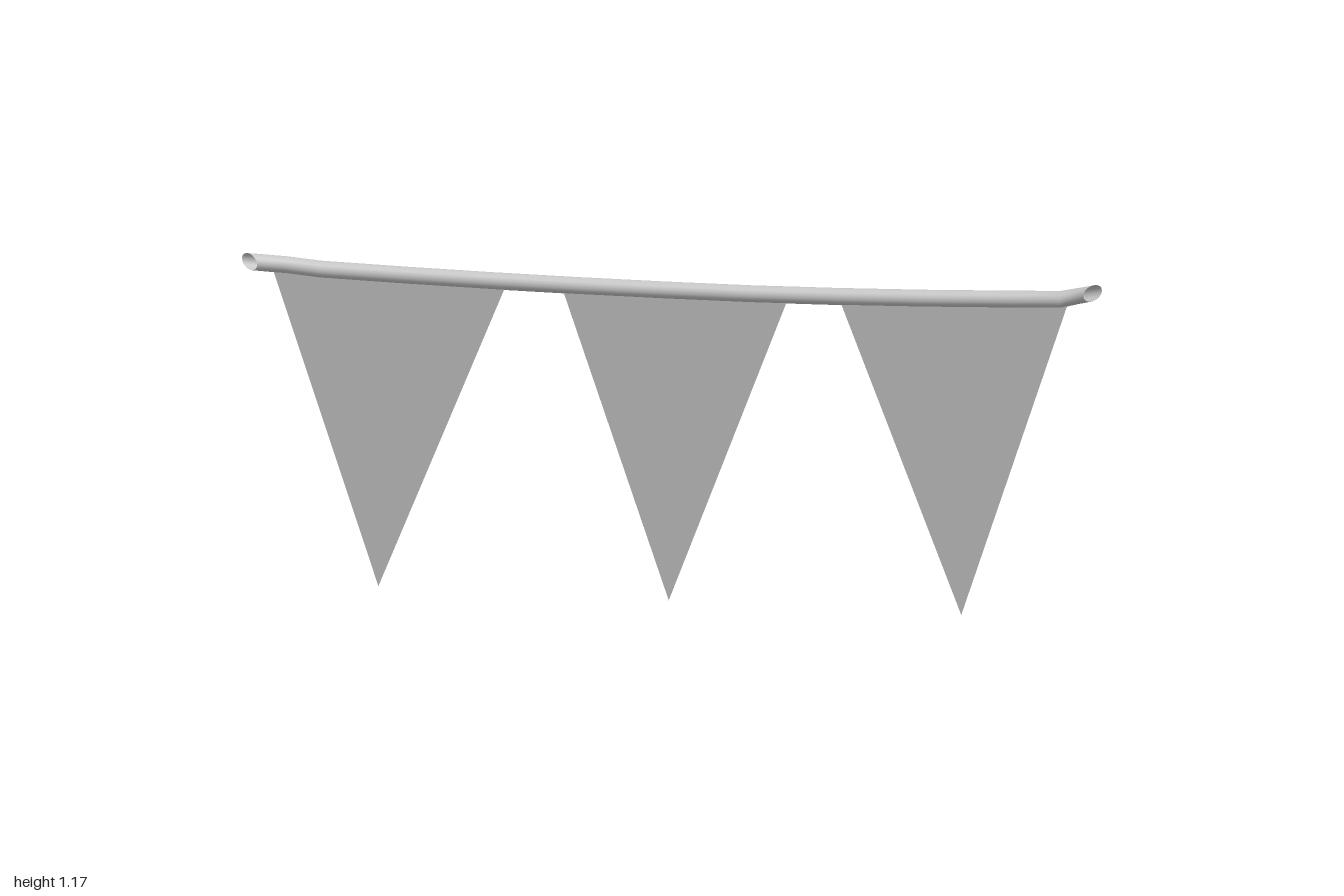
import * as THREE from 'three';

const R = 0.028;          // rope radius
const SIDES = 16;
const OFFSET = 0.03;      // the bunting runs along x + z = OFFSET
const grey = new THREE.MeshStandardMaterial({ color: 0xcccccc, side: THREE.DoubleSide });

// Sagging open tube; its two ends are cut square to the z and x axes
function ropeGeometry() {
  const path = [[-0.96, 1.143], [-0.88, 1.134], [-0.8, 1.123], [-0.6, 1.113], [-0.4, 1.105], [-0.2, 1.099],
    [0, 1.095], [0.2, 1.093], [0.4, 1.095], [0.6, 1.1], [0.8, 1.108], [0.92, 1.114], [1, 1.142]];
  const positions = [], index = [];
  path.forEach(([x, y], i) => {
    let across = new THREE.Vector3(Math.SQRT1_2, 0, Math.SQRT1_2);
    if (i === 0) across = new THREE.Vector3(Math.SQRT2, 0, 0);
    if (i === path.length - 1) across = new THREE.Vector3(0, 0, Math.SQRT2);
    const z = i === 0 ? 1 : i === path.length - 1 ? -0.96 : OFFSET - x;
    for (let j = 0; j < SIDES; j++) {
      const a = (j / SIDES) * Math.PI * 2, s = Math.sin(a) * R;
      positions.push(x + across.x * s, y + Math.cos(a) * R, z + across.z * s);
      if (i < path.length - 1) {
        const k = (j + 1) % SIDES, p = i * SIDES, q = p + SIDES;
        index.push(p + j, p + k, q + j, p + k, q + k, q + j);
      }
    }
  });
  const g = new THREE.BufferGeometry();
  g.setAttribute('position', new THREE.Float32BufferAttribute(positions, 3));
  g.setIndex(index);
  g.computeVertexNormals();
  return g;
}

// Triangular pennant, corners given as [x, y] seen from the front
function flagGeometry(corners) {
  const shape = new THREE.Shape(
    corners.map(([x, y]) => new THREE.Vector2((x - OFFSET / 2) * Math.SQRT2, y)));
  const depth = 0.028;
  return new THREE.ExtrudeGeometry(shape, { depth, bevelEnabled: false }).translate(0, 0, -depth / 2);
}

export function createModel() {
  const model = new THREE.Group();
  model.name = 'bunting';

  const rope = new THREE.Mesh(ropeGeometry(), grey);
  rope.name = 'rope';
  model.add(rope);

  // Flags lie on the diagonal under the rope
  const flags = new THREE.Group();
  flags.name = 'flags';
  flags.rotation.y = Math.PI / 4;
  flags.position.set(OFFSET / 2, 0, OFFSET / 2);
  [
    [[-0.91, 1.12], [-0.665, 0.025], [-0.37, 1.09]],
    [[-0.237, 1.09], [0.01, 0.013], [0.287, 1.085]],
    [[0.408, 1.085], [0.69, 0], [0.938, 1.105]],
  ].forEach((corners, i) => {
    const flag = new THREE.Mesh(flagGeometry(corners), grey);
    flag.name = `flag${i + 1}`;
    flags.add(flag);
  });
  model.add(flags);
  return model;
}
